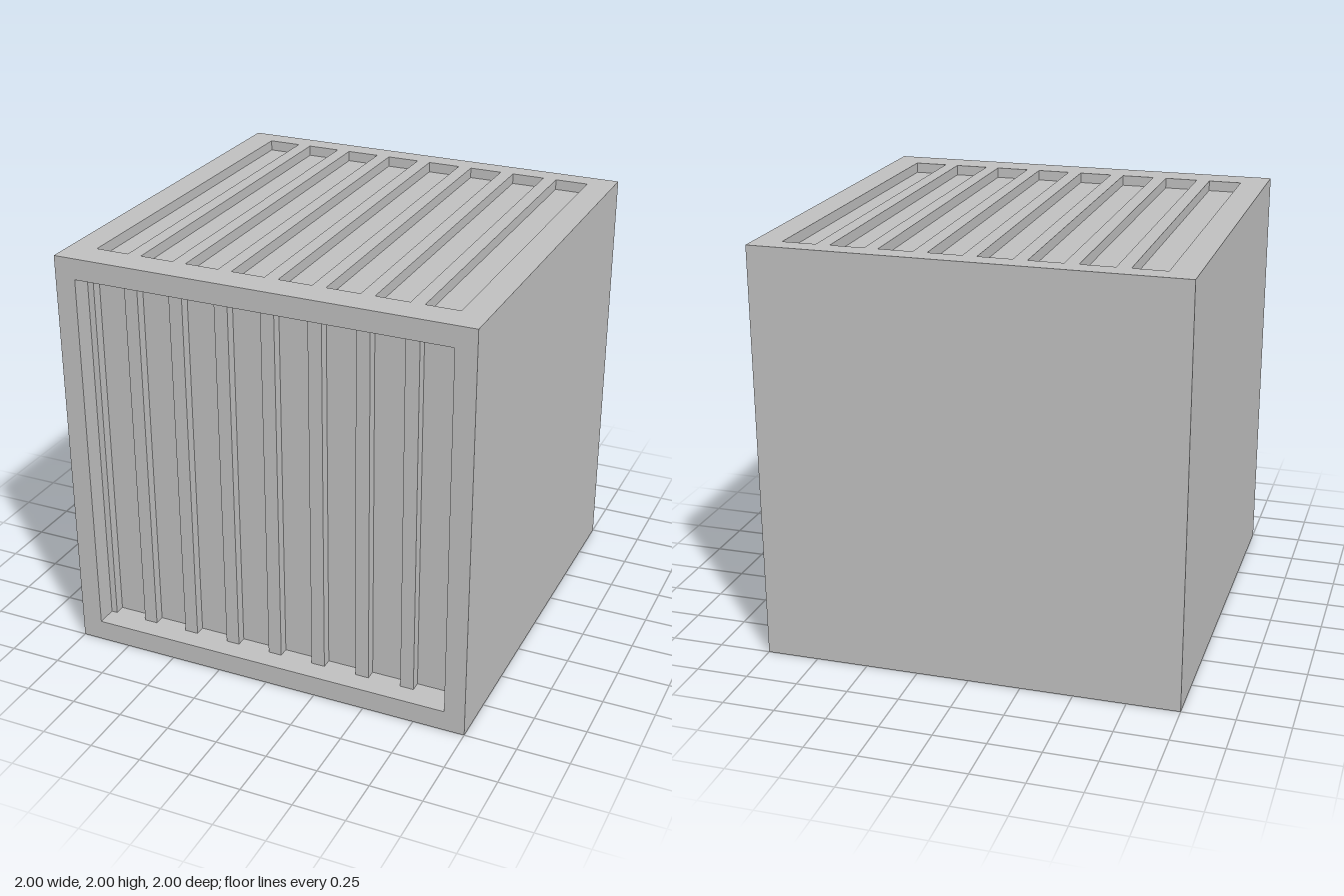
import * as THREE from 'three';

const SLOTS = 8, SLOT_W = 0.16, PITCH = 1.58 / 7, DEPTH = 0.05;
const slotX = (i) => (i - (SLOTS - 1) / 2) * PITCH;

// Closed rectangle outline, for shapes and holes
function rect(Type, x0, y0, x1, y1) {
  const p = new Type();
  p.moveTo(x0, y0);
  p.lineTo(x1, y0);
  p.lineTo(x1, y1);
  p.lineTo(x0, y1);
  p.closePath();
  return p;
}

export function createModel() {
  const model = new THREE.Group();
  model.name = 'slottedCube';
  const grey = new THREE.MeshStandardMaterial({ color: 0xbebebe });
  grey.name = 'grey';

  const add = (name, geometry) => {
    const mesh = new THREE.Mesh(geometry, grey);
    mesh.name = name;
    model.add(mesh);
  };
  const box = (name, x0, x1, y0, y1, z0, z1) => {
    const g = new THREE.BoxGeometry(x1 - x0, y1 - y0, z1 - z0);
    add(name, g.translate((x0 + x1) / 2, (y0 + y1) / 2, (z0 + z1) / 2));
  };

  // Solid core: its top and front form the floors of the slots
  box('core', -1, 1, 0, 2 - DEPTH, -1, 0.85);

  // Top plate with eight long slots
  const top = rect(THREE.Shape, -1, -1, 1, 1);
  for (let i = 0; i < SLOTS; i++) {
    const x = slotX(i);
    top.holes.push(rect(THREE.Path, x - SLOT_W / 2, -0.85, x + SLOT_W / 2, 0.9));
  }
  const topPlate = new THREE.ExtrudeGeometry(top, { depth: DEPTH, bevelEnabled: false });
  add('topPlate', topPlate.rotateX(-Math.PI / 2).translate(0, 2 - DEPTH, 0));

  // Frame around the front recess
  const front = rect(THREE.Shape, -1, 0, 1, 2 - DEPTH);
  front.holes.push(rect(THREE.Path, -0.9, 0.1, 0.9, 1.9));
  const frame = new THREE.ExtrudeGeometry(front, { depth: 0.15, bevelEnabled: false });
  add('frontFrame', frame.translate(0, 0, 0.85));

  // Upright ribs between the front grooves
  for (let i = 0; i <= SLOTS; i++) {
    const x0 = i === 0 ? -0.9 : slotX(i - 1) + SLOT_W / 2;
    const x1 = i === SLOTS ? 0.9 : slotX(i) - SLOT_W / 2;
    box('frontRib', x0, x1, 0.1, 1.9, 0.85, 0.85 + DEPTH);
  }
  return model;
}
